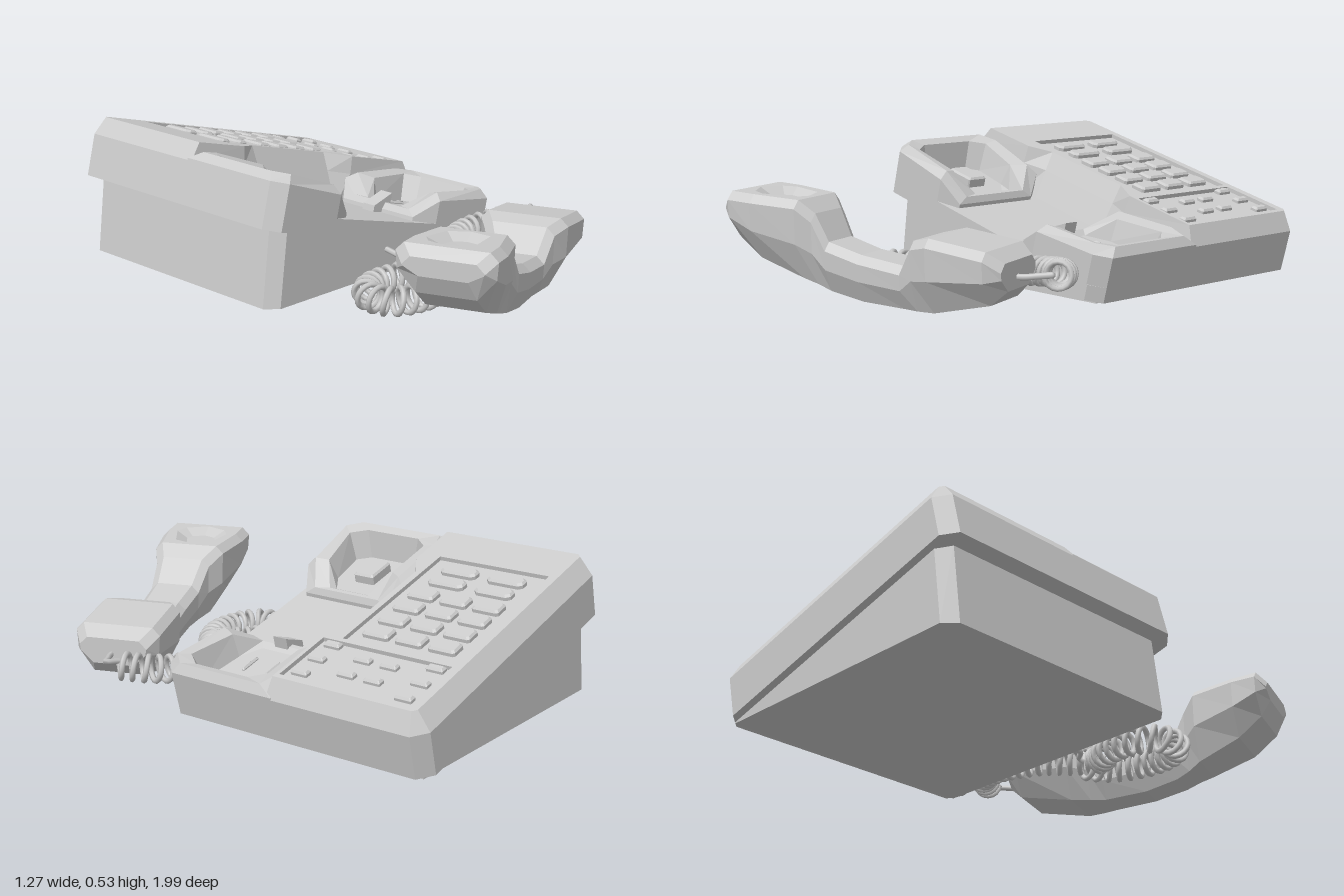
import * as THREE from 'three';

const V = (x, y, z) => new THREE.Vector3(x, y, z);
const flat = new THREE.MeshStandardMaterial({ color: 0xcccccc, flatShading: true, side: THREE.DoubleSide });
const smooth = new THREE.MeshStandardMaterial({ color: 0xcccccc });

function add(parent, name, geometry, material = flat) {
  const mesh = new THREE.Mesh(geometry, material);
  mesh.name = name;
  parent.add(mesh);
  return mesh;
}

// Skin between rings of equal point count, with optional fan caps
function loft(rings, { start = true, end = true, skip = () => false } = {}) {
  const pos = [];
  const tri = (...pts) => pts.forEach((p) => pos.push(p.x, p.y, p.z));
  const n = rings[0].length;
  for (let i = 0; i < rings.length - 1; i++) {
    for (let j = 0; j < n; j++) {
      if (skip(i, j)) continue;
      const k = (j + 1) % n;
      const [a, b, c, d] = [rings[i][j], rings[i][k], rings[i + 1][k], rings[i + 1][j]];
      tri(a, b, c);
      tri(a, c, d);
    }
  }
  const cap = (ring, flip) => {
    const m = ring.reduce((s, p) => s.add(p), V(0, 0, 0)).divideScalar(n);
    ring.forEach((p, j) => {
      const q = ring[(j + 1) % n];
      flip ? tri(m, q, p) : tri(m, p, q);
    });
  };
  if (start) cap(rings[0], true);
  if (end) cap(rings[rings.length - 1], false);
  const g = new THREE.BufferGeometry();
  g.setAttribute('position', new THREE.Float32BufferAttribute(pos, 3));
  g.computeVertexNormals();
  return g;
}

// Plan outline [x, z] lifted to a height (number or one per point)
const level = (pts, y) => pts.map(([x, z], i) => V(x, Array.isArray(y) ? y[i] : y, z));
const mix = (a, b, t) => a.map((p, i) => [p[0] + (b[i][0] - p[0]) * t, p[1] + (b[i][1] - p[1]) * t]);
// Rectangle with cut corners
const octagon = (x0, x1, z0, z1, c) => [
  [x0, z0 + c], [x0, z1 - c], [x0 + c, z1], [x1 - c, z1],
  [x1, z1 - c], [x1, z0 + c], [x1 - c, z0], [x0 + c, z0]];

function block(parent, name, x, z, w, d, y0, y1, c = 0.008) {
  const o = (s) => octagon(x - w / 2 + s, x + w / 2 - s, z - d / 2 + s, z + d / 2 - s, c);
  return add(parent, name, loft([level(o(0), y0), level(o(0), y1 - 0.008), level(o(0.007), y1)]));
}

function buildBase() {
  const base = new THREE.Group();
  base.name = 'base';
  base.position.set(-0.64, 0.312, 0);
  base.rotation.z = -THREE.MathUtils.degToRad(14.7);

  const floor = 0.06, width = 1.23, top = 0.238;
  add(base, 'lowerShell', loft([0, floor].map((y) => level(octagon(0, width, -1, 0.12, 0.05), y))));

  // Rear housing with a finger notch in its front edge
  const foot = [[0, -0.95], [0, -0.355], [0.28, -0.34], [0.4, -0.33], [0.78, -0.33],
    [0.86, -0.34], [width, -0.355], [width, -0.95], [1.18, -1], [0.05, -1]];
  const rim = [[0.035, -0.94], [0.035, -0.37], [0.27, -0.375], [0.36, -0.43], [0.76, -0.43],
    [0.87, -0.37], [1.185, -0.37], [1.185, -0.94], [1.17, -0.955], [0.05, -0.955]];
  const waist = foot.map((p, i) => (i > 1 && i < 6 ? mix([p], [rim[i]], 0.65)[0] : p));
  add(base, 'rearHousing', loft([level(foot, 0.03), level(waist, 0.167), level(rim, top)], { start: false, end: false }));

  // Top plate with two sunken panels
  const shape = new THREE.Shape(rim.map(([x, z]) => new THREE.Vector2(x, -z)));
  const panels = [[0.225, 0.88, -0.92, -0.455], [0.9, 1.165, -0.92, -0.385]];
  for (const [x0, x1, z0, z1] of panels) {
    shape.holes.push(new THREE.Path([[x0, -z0], [x0, -z1], [x1, -z1], [x1, -z0]].map((p) => new THREE.Vector2(...p))));
    const panel = add(base, 'keyPanel', new THREE.BoxGeometry(x1 - x0 + 0.01, 0.02, z1 - z0 + 0.01));
    panel.position.set((x0 + x1) / 2, 0.212, (z0 + z1) / 2);
  }
  const plate = new THREE.ExtrudeGeometry(shape, { depth: 0.02, bevelEnabled: false });
  plate.rotateX(-Math.PI / 2);
  add(base, 'topPlate', plate).position.y = top - 0.02;

  // Keys
  const u = (x) => (x + 0.579) / 0.967;
  for (const x of [-0.1, -0.005, 0.09, 0.185])
    for (const z of [-0.825, -0.688, -0.55]) block(base, 'numberKey', u(x), z, 0.068, 0.11, 0.215, 0.243);
  for (const x of [-0.29, -0.203])
    for (const z of [-0.787, -0.587]) block(base, 'functionKey', u(x), z, 0.058, 0.15, 0.215, 0.243, 0.014);
  const small = [];
  for (const x of [0.31, 0.405, 0.5]) small.push([x, -0.868], [x, -0.44]);
  for (const x of [0.355, 0.452]) small.push([x, -0.71], [x, -0.6]);
  for (const [x, z] of small) block(base, 'smallKey', u(x), z, 0.032, 0.068, 0.215, 0.24, 0.003);

  // Cradle ears: outer wall, rim, then down into a well open towards the middle
  const outer = [[0, -0.38], [0, 0.07], [0.05, 0.12], [0.32, 0.12], [0.41, 0.08], [0.41, -0.3], [0.36, -0.36], [0.1, -0.38]];
  const well = [[0.055, -0.24], [0.055, 0], [0.1, 0.06], [0.29, 0.035], [0.38, -0.02], [0.38, -0.2], [0.29, -0.27], [0.1, -0.295]];
  const pit = mix(well, well.map(() => [0.22, -0.115]), 0.15);
  const wall = [0.175, 0.175, 0.175, 0.15, 0.075, 0.075, 0.15, 0.175];
  const ridge = [0.208, 0.208, 0.208, 0.18, 0.1, 0.1, 0.18, 0.208];
  const lip = [0.195, 0.195, 0.195, 0.17, 0.1, 0.1, 0.17, 0.195];
  const ear = [level(outer, 0.02), level(outer, wall), level(mix(outer, well, 0.4), ridge),
    level(well, lip), level(pit, 0.085)];
  add(base, 'rightCradle', loft(ear, { start: false }));
  const mirrored = ear.map((r) => r.map((p) => V(width - 1.08 * p.x, p.y, p.z)).reverse());
  add(base, 'leftCradle', loft(mirrored, { start: false }));

  // Hook switch, retaining tab and slots
  block(base, 'hookSwitch', 0.215, -0.115, 0.13, 0.09, 0.08, 0.125, 0.005);
  const tab = [[0.74, -0.145], [0.74, -0.085], [0.83, -0.085], [0.83, -0.145]];
  add(base, 'retainingTab', loft([level(tab, 0.05), level(tab, [0.085, 0.085, 0.14, 0.14])]));
  for (const z of [-0.17, -0.065]) block(base, 'cradleSlot', 0.96, z, 0.09, 0.012, 0.08, 0.097, 0.002);
  return base;
}

// Wedge foot under the tilted base
function buildStand() {
  const plan = (x0, c) => [[x0, -0.97 + c], [x0, 0.09 - c], [x0 + c, 0.09], [0.53, 0.09], [0.53, -0.97], [x0 + c, -0.97]];
  const top = plan(-0.58, 0.045);
  const heights = top.map(([x]) => 0.322 - 0.2623 * (x + 0.64));
  return loft([level(plan(-0.62, 0.045), 0), level(top, heights)]);
}

function buildHandset() {
  const handset = new THREE.Group();
  handset.name = 'handset';
  handset.position.set(-0.03, 0, 0.65);
  handset.rotation.y = THREE.MathUtils.degToRad(21);

  // Along the length: position, bottom, top, half width, sideways shift
  const sections = [
    [-0.55, 0.29, 0.355, 0.145, -0.01], [-0.515, 0.22, 0.39, 0.18, -0.01], [-0.42, 0.145, 0.383, 0.18, -0.01],
    [-0.25, 0.08, 0.368, 0.15, -0.01], [-0.195, 0.06, 0.32, 0.115, 0], [-0.135, 0.042, 0.222, 0.105, 0.015],
    [0, 0.015, 0.185, 0.1, 0.02], [0.17, 0.003, 0.16, 0.105, 0.015], [0.225, 0.001, 0.255, 0.135, 0.005],
    [0.3, 0.004, 0.272, 0.17, 0], [0.52, 0.05, 0.24, 0.17, 0], [0.575, 0.1, 0.2, 0.135, 0]];
  const c = 0.03, sole = 0.6;
  const rings = sections.map(([s, yb, yt, w, t]) => {
    const ym = yb + 0.45 * (yt - yb);
    const half = [[yt, w - c], [yt - c, w], [ym, w * 0.97], [yb, w * sole]];
    return [[yt, c - w], ...half, [yb, -w * sole], [ym, -w * 0.97], [yt - c, -w]].map(([y, z]) => V(s, y, z + t));
  });
  add(handset, 'handsetShell', loft(rings, { skip: (i, j) => (i === 1 || i === 2) && j === 0 }));

  // Earpiece face with a shallow faceted dish
  const mid = (a, b) => a.clone().lerp(b, 0.5);
  const [p0, p1, m0, m1, q0, q1] = [1, 2, 3].flatMap((i) => rings[i].slice(0, 2));
  const edge = [p0, mid(p0, p1), p1, m1, q1, mid(q0, q1), q0, m0];
  const centre = mid(mid(p0, p1), mid(q0, q1));
  const circle = (r, drop) => edge.map((p) => {
    const v = p.clone().sub(centre).setLength(r).add(centre);
    v.y -= drop;
    return v;
  });
  add(handset, 'earpieceDish', loft([edge, circle(0.115, 0), circle(0.065, 0.025)], { start: false }));
  return handset;
}

function buildCord() {
  const cord = new THREE.Group();
  cord.name = 'cord';
  const curve = (pts) => new THREE.CatmullRomCurve3(pts.map((p) => V(...p)));
  const path = curve([[0.03, 0.06, 0.31], [-0.02, 0.06, 0.4], [-0.12, 0.06, 0.46], [-0.25, 0.06, 0.475],
    [-0.36, 0.06, 0.43], [-0.37, 0.06, 0.33], [-0.28, 0.06, 0.27], [-0.14, 0.065, 0.285], [-0.03, 0.075, 0.35],
    [0.06, 0.09, 0.32], [0.18, 0.1, 0.24], [0.34, 0.105, 0.185], [0.5, 0.125, 0.23], [0.59, 0.14, 0.34]]);

  // Helix wound around the path
  const turns = 40, perTurn = 10, count = turns * perTurn, coil = [];
  for (let i = 0; i <= count; i++) {
    const t = i / count, a = t * turns * Math.PI * 2;
    const side = path.getTangentAt(t).cross(V(0, 1, 0)).normalize();
    coil.push(path.getPointAt(t).addScaledVector(side, 0.047 * Math.cos(a)).add(V(0, 0.047 * Math.sin(a), 0)));
  }
  const helix = new THREE.CatmullRomCurve3(coil);
  helix.arcLengthDivisions = 2400;
  add(cord, 'coil', new THREE.TubeGeometry(helix, 640, 0.011, 6), smooth);

  // Straight leads to the base and the handset
  const first = coil[0].toArray(), last = coil[count].toArray();
  const leads = [
    [[-0.03, 0.1, 0.1], [-0.03, 0.09, 0.16], [-0.035, 0.08, 0.24], [0, 0.07, 0.27], first],
    [last, [0.61, 0.15, 0.38], [0.57, 0.145, 0.41], [0.53, 0.14, 0.44], [0.48, 0.14, 0.465]]];
  for (const pts of leads) add(cord, 'cordLead', new THREE.TubeGeometry(curve(pts), 24, 0.011, 6), smooth);
  return cord;
}

export function createModel() {
  const model = new THREE.Group();
  model.name = 'telephone';
  model.add(buildBase());
  add(model, 'stand', buildStand());
  model.add(buildHandset(), buildCord());
  return model;
}
